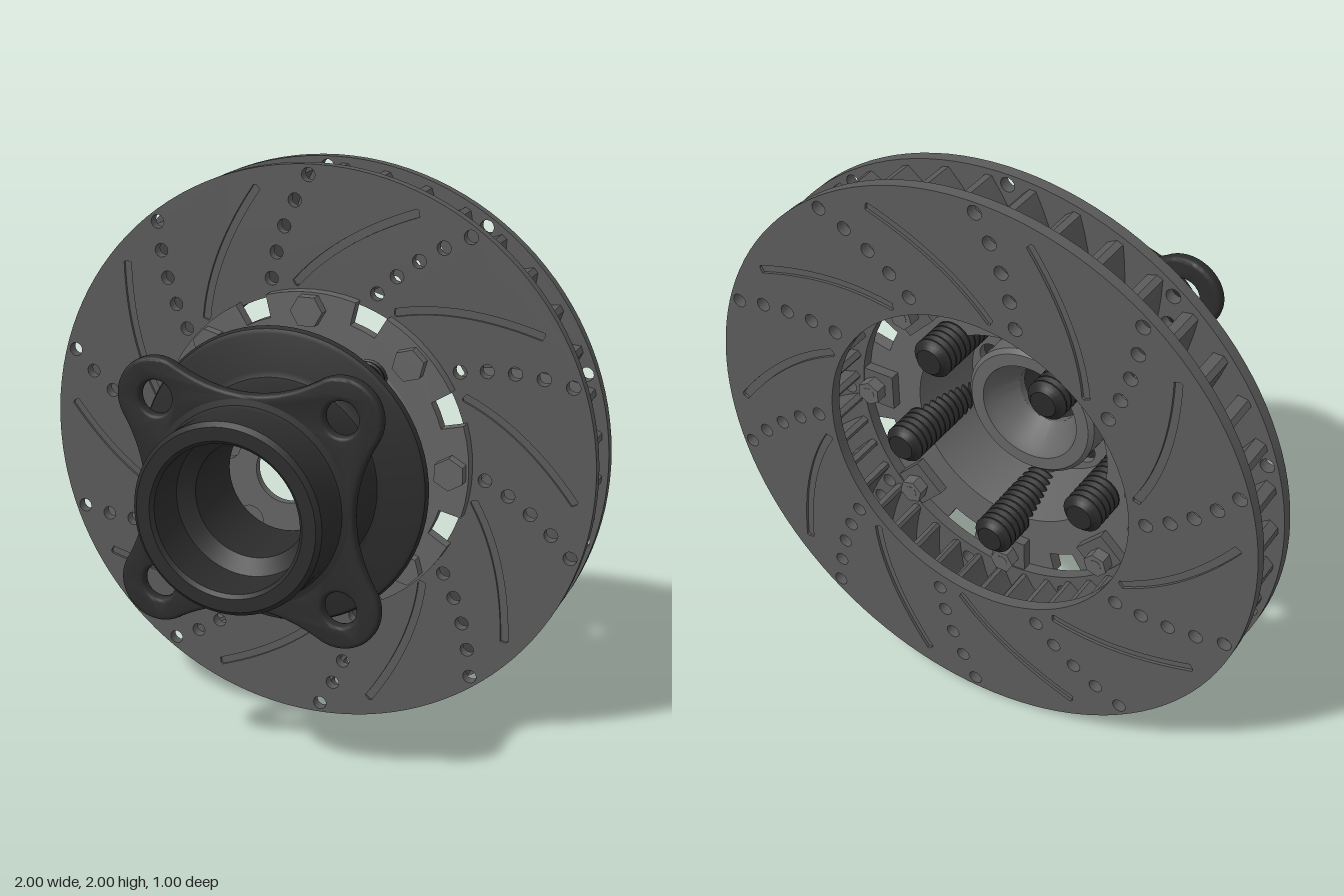
import * as THREE from 'three';
import { toCreasedNormals } from 'three/addons/utils/BufferGeometryUtils.js';

const DEG = Math.PI / 180;
const polar = (r, deg) => new THREE.Vector2(r * Math.cos(deg * DEG), r * Math.sin(deg * DEG));

// Points of a circle, for outlines and holes
function circle(r, n, cx = 0, cy = 0) {
  return Array.from({ length: n }, (_, i) => {
    const p = polar(r, (i * 360) / n);
    return new THREE.Vector2(p.x + cx, p.y + cy);
  });
}

// Closed band that follows a spiral angle(r), with pointed ends
function ribbon(angle, r0, r1, w0, w1, turn, n = 12) {
  const mid = [], left = [], right = [];
  for (let i = 0; i <= n; i++) {
    const r = r0 + ((r1 - r0) * i) / n;
    mid.push(polar(r, angle(r) + turn));
  }
  mid.forEach((p, i) => {
    const d = mid[Math.min(i + 1, n)].clone().sub(mid[Math.max(i - 1, 0)]).normalize();
    const w = w0 + ((w1 - w0) * i) / n;
    left.push(new THREE.Vector2(p.x - d.y * w, p.y + d.x * w));
    right.unshift(new THREE.Vector2(p.x + d.y * w, p.y - d.x * w));
  });
  const a = polar(r0 - w0 * 0.7, angle(r0) + turn);
  const b = polar(r1 + w1 * 0.5, angle(r1) + turn);
  return [a, ...right.reverse(), b, ...left.reverse()];
}

// Slab between two z values, with optional holes and rounded rim
function slab(outline, holes, z0, z1, bevel = 0) {
  const shape = new THREE.Shape(outline);
  shape.holes = holes.map((h) => new THREE.Path(h));
  const g = new THREE.ExtrudeGeometry(shape, {
    depth: z1 - z0 - 2 * bevel, bevelEnabled: bevel > 0, bevelThickness: bevel,
    bevelSize: bevel, bevelOffset: -bevel, bevelSegments: 3,
  });
  g.translate(0, 0, z0 + bevel);
  return toCreasedNormals(g, 0.6);
}

// Solid of revolution about z from [radius, z] pairs
function turned(profile, sides = 72, crease = 0.6) {
  const g = new THREE.LatheGeometry(profile.map(([r, z]) => new THREE.Vector2(r, z)), sides);
  g.rotateX(Math.PI / 2);
  return toCreasedNormals(g, crease);
}

export function createModel() {
  const mat = (name, color) => Object.assign(new THREE.MeshStandardMaterial({ color }), { name });
  const rotorMat = mat('rotor grey', 0x5a5a5a);
  const hatMat = mat('carrier grey', 0x646464);
  const hubMat = mat('hub black', 0x2c2c2c);
  const studMat = mat('stud black', 0x282828);

  const model = new THREE.Group();
  model.name = 'brakeRotorAndHub';
  const body = new THREE.Group();
  body.name = 'assembly';
  body.position.y = 1;
  model.add(body);
  const add = (name, geo, material, parent = body) => {
    const m = new THREE.Mesh(geo, material);
    m.name = name;
    parent.add(m);
    return m;
  };

  // Rotor plates: drilled core plus a thin slotted face on each outer side
  const drillAngle = (r) => 104.9 - 38.7 * (r - 0.62);
  const slotAngle = (r) => {
    const t = r - 0.575;
    return 99 - 97.9 * t + 56 * t * (t - 0.19);
  };
  const drills = [], slots = [];
  for (let k = 0; k < 10; k++) {
    for (let j = 0; j < 5; j++) {
      const r = 0.62 + 0.086 * j;
      const p = polar(r, drillAngle(r) + 36 * k);
      drills.push(circle(0.0245, 14, p.x, p.y));
    }
    slots.push(ribbon(slotAngle, 0.595, 0.935, 0.014, 0.014, 36 * k));
  }
  const rim = circle(1, 120), eye = circle(0.56, 96);
  add('frontPlate', slab(rim, [eye, ...drills], -0.32, -0.29), rotorMat);
  add('frontSlottedFace', slab(rim, [eye, ...drills, ...slots], -0.29, -0.28), rotorMat);
  add('backPlate', slab(rim, [eye, ...drills], -0.49, -0.46), rotorMat);
  add('backSlottedFace', slab(rim, [eye, ...drills, ...slots], -0.5, -0.49), rotorMat);

  // Cooling vanes between the plates, running between the drillings
  const vanes = new THREE.Group();
  vanes.name = 'coolingVanes';
  body.add(vanes);
  const vaneGeo = slab(ribbon(drillAngle, 0.585, 0.965, 0.014, 0.026, 4.5, 8), [], -0.46, -0.32);
  for (let i = 0; i < 40; i++) add('vane', vaneGeo, rotorMat, vanes).rotation.z = i * 9 * DEG;

  // Carrier: flange with eight ears, bell wall, drilled face and centre collar
  const ears = [];
  for (let k = 0; k < 8; k++) {
    for (let a = -16.5; a <= 16.5; a += 5.5) ears.push(polar(0.575, 45 * k + a));
    for (let a = 17; a <= 28; a += 5.5) ears.push(polar(0.495, 45 * k + a));
  }
  add('carrierFlange', slab(ears, [circle(0.39, 64)], -0.28, -0.235), hatMat);
  add('carrierBell', turned([
    [0.36, -0.28], [0.41, -0.28], [0.41, -0.235], [0.385, -0.225], [0.335, -0.03],
    [0.325, -0.02], [0.3, -0.02], [0.3, -0.05], [0.36, -0.28],
  ]), hatMat);
  const faceHoles = [0, 1, 2, 3, 4].map((k) => {
    const p = polar(0.23, 90 + 72 * k);
    return circle(0.05, 20, p.x, p.y);
  });
  add('carrierFace', slab(circle(0.325, 72), [circle(0.11, 48), ...faceHoles], -0.05, -0.02), hatMat);
  add('centreCollar', turned([
    [0.11, -0.05], [0.17, -0.14], [0.18, -0.17], [0.225, -0.17], [0.24, -0.155],
    [0.24, -0.05], [0.11, -0.05],
  ]), hatMat);

  // Hex bolts, nuts and rotor tabs at each ear
  const head = new THREE.CylinderGeometry(0.058, 0.058, 0.04, 6).toNonIndexed();
  head.rotateX(Math.PI / 2).computeVertexNormals();
  const nut = head.clone().scale(0.75, 0.75, 1.2);
  const shank = turned([[0, -0.36], [0.022, -0.36], [0.022, -0.2], [0, -0.2]], 16);
  const tab = new THREE.BoxGeometry(0.14, 0.13, 0.035);
  for (let k = 0; k < 8; k++) {
    const g = new THREE.Group();
    g.name = 'carrierFastener';
    g.rotation.z = k * 45 * DEG;
    body.add(g);
    add('boltHead', head, hatMat, g).position.set(0.515, 0, -0.215);
    add('nut', nut, hatMat, g).position.set(0.515, 0, -0.335);
    add('boltShank', shank, hatMat, g).position.x = 0.515;
    add('rotorTab', tab, rotorMat, g).position.set(0.515, 0, -0.2985);
  }

  // Five threaded wheel studs
  const thread = [[0, -0.43], [0.045, -0.43]];
  for (let i = 0; i < 15; i++) {
    const z = -0.415 + i * 0.0275;
    thread.push([0.054, z], [0.07, z + 0.01], [0.07, z + 0.016]);
  }
  thread.push([0.054, 0], [0.054, 0.01], [0, 0.01]);
  const studGeo = turned(thread, 24, 0.5);
  for (let k = 0; k < 5; k++) {
    const p = polar(0.36, -90 + 72 * k);
    add('wheelStud', studGeo, studMat).position.set(p.x, p.y, 0);
  }

  // Hub barrel with its round rear flange and stepped bore
  add('hubBarrel', turned([
    [0.2, 0], [0.495, 0], [0.51, 0.006], [0.518, 0.022], [0.51, 0.038], [0.495, 0.045],
    [0.37, 0.045], [0.35, 0.052], [0.342, 0.07], [0.342, 0.26], [0.35, 0.28], [0.35, 0.325],
    [0.33, 0.33], [0.322, 0.345], [0.322, 0.485], [0.307, 0.5], [0.262, 0.5], [0.25, 0.488],
    [0.25, 0.32], [0.2, 0.28], [0.2, 0],
  ]), hubMat);

  // Four-lobed front flange with a bolt hole in each lobe
  const lobes = new THREE.Shape();
  const holes = [circle(0.3, 64)];
  for (let k = 0; k < 4; k++) {
    const c = polar(0.452, 45 + 90 * k);
    const start = (-35 + 90 * k) * DEG, end = (125 + 90 * k) * DEG;
    lobes.absarc(c.x, c.y, 0.137, start, end, false);
    const dip = polar(0.3, 90 + 90 * k);
    const next = polar(0.452, 135 + 90 * k);
    const to = polar(0.137, 55 + 90 * k - 0);
    const s = start + Math.PI / 2;
    to.set(next.x + 0.137 * Math.cos(s), next.y + 0.137 * Math.sin(s));
    lobes.quadraticCurveTo(dip.x, dip.y, to.x, to.y);
    holes.push(circle(0.058, 24, c.x, c.y));
  }
  const outline = lobes.getPoints(14).filter((p, i, all) => i === 0 || p.distanceTo(all[i - 1]) > 1e-4);
  if (outline[0].distanceTo(outline[outline.length - 1]) < 1e-4) outline.pop();
  add('lobedFlange', slab(outline, holes, 0.28, 0.325, 0.014), hubMat);

  return model;
}
